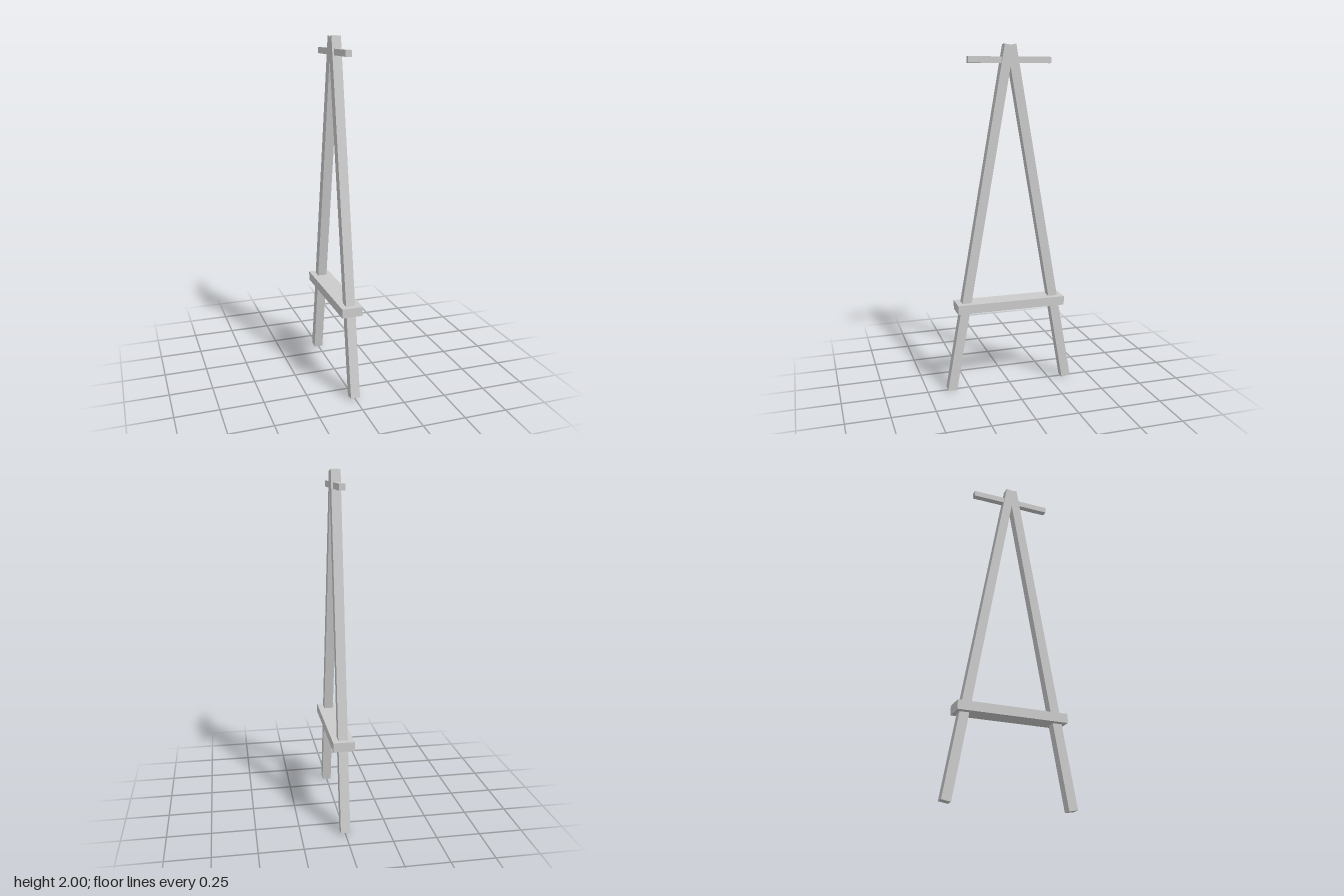
import * as THREE from 'three';

export function createModel() {
  const model = new THREE.Group();
  const material = new THREE.MeshStandardMaterial({ color: 0xcccccc, flatShading: true });

  function addBeam(name, width, height, depth, y, z) {
    const beam = new THREE.Mesh(new THREE.BoxGeometry(width, height, depth), material);
    beam.name = name;
    beam.position.set(0, y, z);
    model.add(beam);
    return beam;
  }

  // Two square legs leaning together and crossing at the top
  const tilt = THREE.MathUtils.degToRad(10);
  const thickness = 0.054;
  const length = (2 - thickness * Math.sin(tilt)) / Math.cos(tilt);
  for (const side of [1, -1]) {
    const leg = addBeam(side > 0 ? 'frontLeg' : 'backLeg', thickness, length, thickness, 1, side * 0.182);
    leg.rotation.x = -side * tilt;
  }

  // Wide plank joining the legs low down
  addBeam('shelf', 0.121, 0.053, 0.648, 0.507, 0);

  // Thin bar through the apex
  addBeam('topBar', 0.035, 0.035, 0.482, 1.914, -0.0025);

  return model;
}
